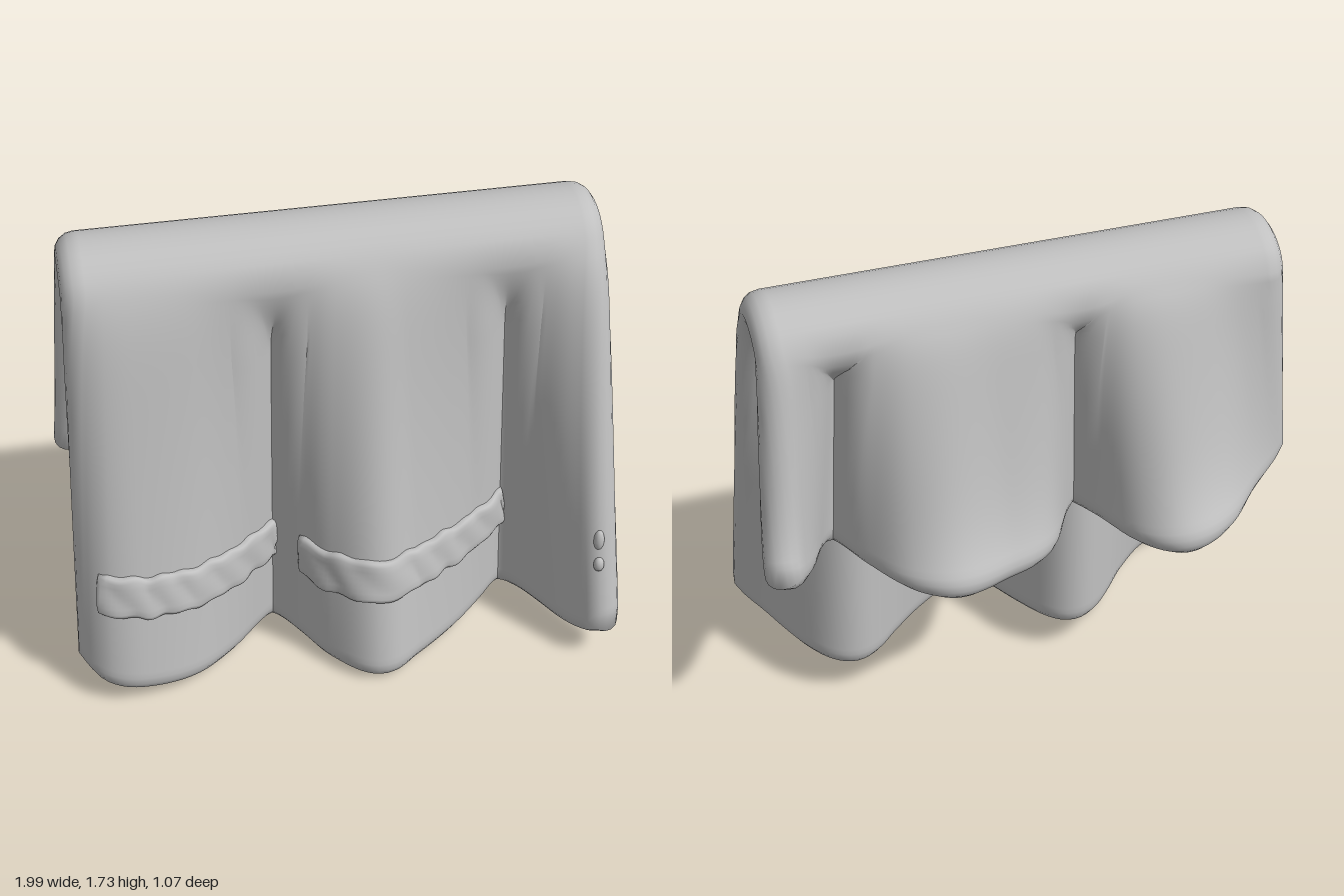
import * as THREE from 'three';

const { lerp, smoothstep, clamp } = THREE.MathUtils;
const HALF = 0.07;                       // half the cloth thickness
const ARCH_Y = 1.592, ARCH_ANGLE = 0.45; // where the arch over the rail meets the flaps
const FRONT = 1.51, ARCH = 0.32, BACK = 0.86;
const LENGTH = FRONT + ARCH + BACK;

// fold profiles at the hems: [x, z]
const frontFolds = [[-0.93, 0.28], [-0.87, 0.36], [-0.77, 0.38], [-0.6, 0.335], [-0.46, 0.225], [-0.36, 0.115],
  [-0.29, 0.05], [-0.23, 0.035], [-0.17, 0.085], [-0.1, 0.195], [-0.03, 0.315], [0.1, 0.43], [0.22, 0.365],
  [0.38, 0.25], [0.5, 0.14], [0.57, 0.07], [0.63, 0.04], [0.69, 0.065], [0.75, 0.14], [0.8, 0.235],
  [0.86, 0.36], [0.93, 0.47]];
const backFolds = [[-0.93, -0.14], [-0.78, -0.26], [-0.62, -0.42], [-0.48, -0.465], [-0.38, -0.38], [-0.29, -0.17],
  [-0.2, -0.04], [-0.1, -0.12], [0.02, -0.31], [0.18, -0.385], [0.35, -0.435], [0.47, -0.37], [0.57, -0.21],
  [0.66, -0.05], [0.74, -0.04], [0.81, -0.11], [0.87, -0.23], [0.93, -0.33]];

// smooth cubic through the fold points
function fold(pts, x) {
  let i = 0;
  while (i < pts.length - 2 && x > pts[i + 1][0]) i++;
  const slope = k => {
    const a = pts[Math.max(k - 1, 0)], b = pts[Math.min(k + 1, pts.length - 1)];
    return (b[1] - a[1]) / (b[0] - a[0]);
  };
  const w = pts[i + 1][0] - pts[i][0];
  const t = clamp((x - pts[i][0]) / w, 0, 1), t2 = t * t, t3 = t2 * t;
  return (2 * t3 - 3 * t2 + 1) * pts[i][1] + (t3 - 2 * t2 + t) * w * slope(i)
    + (3 * t2 - 2 * t3) * pts[i + 1][1] + (t3 - t2) * w * slope(i + 1);
}

// depth of a flap: crests flare gradually, valleys pinch in just below the arch
function depth(start, end, t, crest) {
  const valley = smoothstep(t, 0, 0.2);
  return lerp(start, end, lerp(valley, crest, smoothstep(Math.abs(end), 0.06, 0.19)));
}

// middle of the cloth: u runs across, v from front hem over the top to back hem
function cloth(u, v) {
  const X = u * 0.93, s = v * LENGTH;
  const corner = 0.03 * Math.pow(u, 24);
  const shoulder = t => 1 - Math.exp(-t / 0.06);
  if (s < FRONT) {
    const t = 1 - s / FRONT;
    return new THREE.Vector3(X * lerp(0.925, 1, t), lerp(ARCH_Y, 0.072 + 0.08 * X * X + corner, t),
      depth(0.1065, fold(frontFolds, X), t, 0.13 * shoulder(t) + 0.87 * t));
  }
  if (s < FRONT + ARCH) {
    const a = lerp(ARCH_ANGLE, Math.PI - ARCH_ANGLE, (s - FRONT) / ARCH);
    return new THREE.Vector3(X * 0.925, ARCH_Y + 0.12 * (Math.sin(a) - Math.sin(ARCH_ANGLE)),
      -0.015 + 0.135 * Math.cos(a));
  }
  const t = Math.min((s - FRONT - ARCH) / BACK, 1);
  return new THREE.Vector3(X * lerp(0.925, 1, t), lerp(ARCH_Y, 0.73 + 0.085 * X * X + corner, t),
    depth(-0.1365, fold(backFolds, X), t, 0.09 * shoulder(t) + 0.71 * t + 0.2 * t ** 7));
}

// tangents and normal of a surface inside its limits
function frame(surface, u, v, [u0, u1, v0, v1]) {
  const e = 0.004;
  const du = surface(Math.min(u + e, u1), v).sub(surface(Math.max(u - e, u0), v)).normalize();
  const dv = surface(u, Math.min(v + e, v1)).sub(surface(u, Math.max(v - e, v0))).normalize();
  return { du, dv, n: du.clone().cross(dv).normalize() };
}

// closed slab of even thickness with a round rim
function slab(surface, limits, nu, nv, half, rimSteps) {
  const [u0, u1, v0, v1] = limits, pos = [], index = [];
  const at = (i, j) => [u0 + (u1 - u0) * i / nu, v0 + (v1 - v0) * j / nv];
  const count = (nu + 1) * (nv + 1), id = (i, j) => j * (nu + 1) + i;
  for (const side of [1, -1])
    for (let j = 0; j <= nv; j++)
      for (let i = 0; i <= nu; i++) {
        const [u, v] = at(i, j);
        pos.push(...surface(u, v).addScaledVector(frame(surface, u, v, limits).n, side * half));
      }
  for (let j = 0; j < nv; j++)
    for (let i = 0; i < nu; i++) {
      const a = id(i, j), b = id(i + 1, j), c = id(i + 1, j + 1), d = id(i, j + 1);
      index.push(a, b, c, a, c, d);
      index.push(a + count, c + count, b + count, a + count, d + count, c + count);
    }
  // rim
  const loop = [];
  for (let i = 0; i < nu; i++) loop.push([i, 0]);
  for (let j = 0; j < nv; j++) loop.push([nu, j]);
  for (let i = nu; i > 0; i--) loop.push([i, nv]);
  for (let j = nv; j > 0; j--) loop.push([0, j]);
  const rings = [loop.map(([i, j]) => id(i, j))];
  for (let k = 1; k < rimSteps; k++) {
    const a = Math.PI * (0.5 - k / rimSteps);
    rings.push(loop.map(([i, j]) => {
      const [u, v] = at(i, j), { du, dv, n } = frame(surface, u, v, limits);
      const out = new THREE.Vector3()
        .addScaledVector(du, i === 0 ? -1 : i === nu ? 1 : 0)
        .addScaledVector(dv, j === 0 ? -1 : j === nv ? 1 : 0).normalize();
      pos.push(...surface(u, v).addScaledVector(out, half * Math.cos(a)).addScaledVector(n, half * Math.sin(a)));
      return pos.length / 3 - 1;
    }));
  }
  rings.push(rings[0].map(k => k + count));
  for (let k = 0; k < rimSteps; k++)
    for (let m = 0; m < loop.length; m++) {
      const q = (m + 1) % loop.length;
      const a = rings[k][m], b = rings[k][q], c = rings[k + 1][q], d = rings[k + 1][m];
      index.push(a, d, c, a, c, b);
    }
  const g = new THREE.BufferGeometry();
  g.setAttribute('position', new THREE.Float32BufferAttribute(pos, 3));
  g.setIndex(index);
  g.computeVertexNormals();
  return g;
}

export function createModel() {
  const group = new THREE.Group();
  const material = new THREE.MeshStandardMaterial({ color: 0xc0c0c0 });
  material.name = 'light grey cloth';
  const add = (name, geometry) => {
    const mesh = new THREE.Mesh(geometry, material);
    mesh.name = name;
    group.add(mesh);
    return mesh;
  };

  // draped sheet
  const whole = [-1, 1, 0, 1];
  add('drapedTowel', slab(cloth, whole, 130, 110, HALF, 8));

  // raised, slightly ragged stripe across the front
  const stripe = (u, v) => {
    const w = v + 0.0015 * Math.sin(u * 41) + 0.0015 * Math.sin(u * 73 + 1);
    return cloth(u, w).addScaledVector(frame(cloth, u, w, whole).n, HALF + 0.003 * Math.sin(u * 57 + v * 90));
  };
  const v0 = 0.29 / LENGTH, v1 = 0.425 / LENGTH;
  add('leftStripe', slab(stripe, [-0.94, -0.28, v0, v1], 60, 6, 0.02, 4));
  add('middleStripe', slab(stripe, [-0.1, 0.68, v0, v1], 70, 6, 0.02, 4));

  // bits of the stripe on the end fold
  for (const [y, z, h] of [[0.53, 0.455, 0.045], [0.435, 0.48, 0.03]]) {
    const bit = add('stripeBit', new THREE.SphereGeometry(1, 12, 8));
    bit.position.set(0.9, y, z);
    bit.scale.set(0.02, h, 0.02);
  }
  return group;
}
